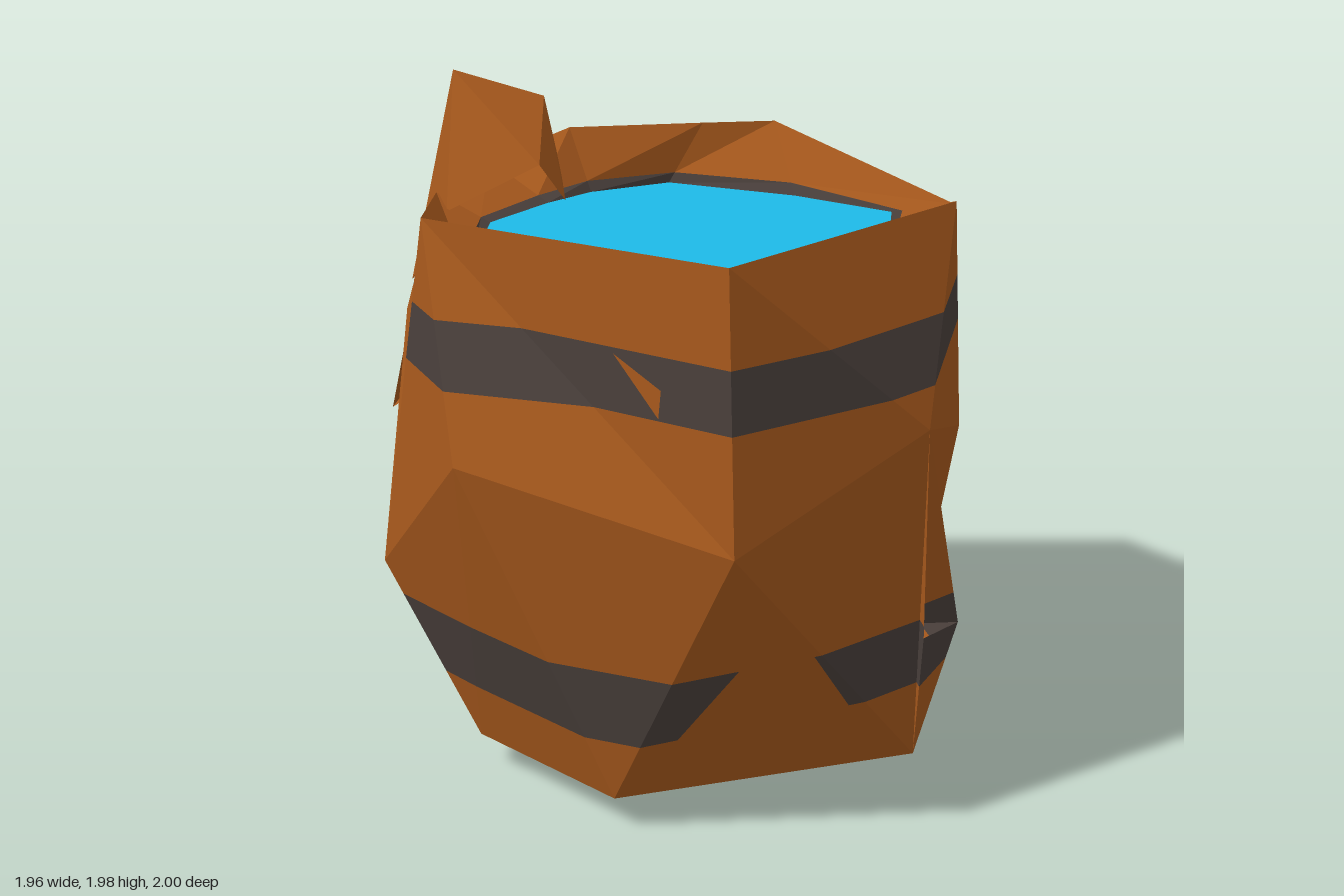
import * as THREE from 'three';

const paint = (name, color) => {
  const m = new THREE.MeshStandardMaterial({ color, side: THREE.DoubleSide });
  m.name = name;
  return m;
};

// Heights where the wood changes to iron hoop and back
const SLABS = [
  [-1, 0.29, 'wood'], [0.29, 0.52, 'iron'], [0.52, 1.29, 'wood'],
  [1.29, 1.47, 'iron'], [1.47, 3, 'wood'],
];

const mix = (a, b, t) => a.map((v, k) => v + (b[k] - v) * t);

// Keep the part of a polygon on one side of a hoop height (fourth number of a corner)
function clip(poly, h, sign) {
  const out = [];
  poly.forEach((a, i) => {
    const b = poly[(i + 1) % poly.length];
    const da = sign * (a[3] - h), db = sign * (b[3] - h);
    if (da >= 0) out.push(a);
    if (da * db < 0) out.push(mix(a, b, da / (da - db)));
  });
  return out;
}

function meshOf(name, polys, material) {
  const pos = [];
  for (const p of polys)
    for (let i = 1; i + 1 < p.length; i++)
      for (const [x, y, z] of [p[0], p[i], p[i + 1]]) pos.push(x, y, z);
  const g = new THREE.BufferGeometry();
  g.setAttribute('position', new THREE.Float32BufferAttribute(pos, 3));
  g.computeVertexNormals();
  const m = new THREE.Mesh(g, material);
  m.name = name;
  return m;
}

// Faceted surface cut into wood and hoop meshes; hoop height is y unless given
function banded(name, tris, mats) {
  const group = new THREE.Group();
  group.name = name;
  const faces = tris.map((t) => t.map(([x, y, z, h = y]) => [x, y, z, h]));
  for (const key of ['wood', 'iron']) {
    const polys = [];
    for (const [lo, hi, k] of SLABS) {
      if (k !== key) continue;
      for (const t of faces) {
        const p = clip(clip(t, lo, 1), hi, -1);
        if (p.length > 2) polys.push(p);
      }
    }
    group.add(meshOf(name + (key === 'wood' ? 'Staves' : 'Hoops'), polys, mats[key]));
  }
  return group;
}

// Triangles between an upper and a lower ring
function loft(up, low, skip = () => false) {
  const tris = [];
  for (let i = 0; i < up.length; i++) {
    const j = (i + 1) % up.length;
    if (!skip(i)) tris.push([up[i], low[i], low[j]], [up[i], low[j], up[j]]);
  }
  return tris;
}

export function createModel() {
  const mats = { wood: paint('brown wood', 0xa4571c), iron: paint('dark iron', 0x483e3a) };
  const waterMat = paint('blue water', 0x1ebcea);
  const model = new THREE.Group();
  model.name = 'brokenBarrel';

  // Cross-sections, starting at the front and passing the +x side
  const rim = [
    [0.36, 1.75, 0.83], [0.92, 1.75, 0.05], [0.92, 1.75, 0.05], [0.88, 1.59, -0.47],
    [0.25, 1.75, -0.8], [0.02, 1.75, -0.73], [-0.4, 1.75, -0.59], [-0.65, 1.65, -0.5],
    [-0.75, 1.62, -0.2], [-0.62, 1.73, 0.45], [-0.62, 1.73, 0.45],
  ];
  const belly = [
    [0.41, 0.95, 1.0], [0.9, 1.18, 0.48], [0.9, 1.18, 0.48], [0.92, 0.83, -0.5],
    [0.41, 1.35, -0.89], [-0.14, 1.25, -0.89], [-0.44, 1.2, -0.81], [-0.72, 1.2, -0.52],
    [-0.88, 1.2, -0.27], [-0.77, 0.62, 0.45], [-0.44, 1.1, 0.83],
  ];
  const foot = [
    [0.04, 0.1, 0.88], [0.87, 0.02, 0.28], [0.98, 0.39, 0.08], [0.85, 0.4, -0.48],
    [0.41, 0.48, -0.88], [0.03, 0.47, -0.85], [-0.4, 0.2, -0.72, 0.29], [-0.8, 0.27, -0.54, 0.3],
    [-0.77, 0.4, -0.15], [-0.6, 0.3, 0.4], [-0.45, 0.1, 0.55],
  ];
  const waterY = 1.56;
  const inner = [
    [0.2, 0.72], [0.55, 0.42], [0.72, 0.07], [0.68, -0.45], [0.35, -0.58], [-0.08, -0.66],
    [-0.31, -0.5], [-0.42, -0.35], [-0.55, -0.1], [-0.5, 0.35], [-0.2, 0.61],
  ].map(([x, z]) => [x, waterY, z]);

  // Outer wall, with a gap at the back and a split on the +x side
  const split = [0.9, 0.48, 0.41], hem = [0.76, 0.36, -0.38];
  const gapTop = [0.23, 1.2, -0.9], fang = [0.58, 0.01, -0.62];
  const wall = [
    ...loft(rim, belly),
    ...loft(belly, foot, (i) => i === 1 || i === 4),
    [belly[4], foot[4], gapTop], [belly[4], gapTop, belly[5]],
    [belly[1], foot[1], split], [split, foot[1], foot[2]],
    // slanting lower edge on the +x side
    [foot[2], foot[1], hem], [foot[2], hem, foot[3]],
    // torn corner reaching the ground
    [foot[3], fang, foot[4]],
    // boards folded into the split and the gap
    [belly[1], [0.85, 0.46, 0.27], foot[2]],
    [foot[4], foot[5], [0, 1.0, -0.65]],
  ];
  model.add(banded('wall', wall, mats));

  // Sloping inside of the rim, with a dark wet edge on most of the water line
  const edge = inner.map((p, i) => mix(p, rim[i], i < 3 ? 0 : 0.17));
  model.add(meshOf('innerRim', loft(rim, edge), mats.wood));
  model.add(meshOf('waterLine', loft(edge, inner, (i) => i < 2), mats.iron));

  // Water surface
  model.add(meshOf('water', [inner], waterMat));

  // Bottom board
  const base = [
    [0.1, 0.02, 0.57], [0.58, 0.01, 0.25], [0.58, 0.03, -0.3], [0.3, 0.05, -0.58],
    [-0.2, 0.06, -0.5], [-0.45, 0.1, -0.15], [-0.42, 0.04, 0.3],
  ];
  const floor = base.map((p, i) => [[0, 0, 0], base[(i + 1) % base.length], p]);
  floor.push([base[2], base[3], [0.45, 0.15, -0.48]], [base[3], base[4], [0.1, 0.13, -0.45]]);
  model.add(meshOf('bottomBoard', floor, mats.wood));

  // Underside between wall and bottom board, open on the +x side
  const belt = [
    [foot[0], base[0], base[1]], [foot[0], base[1], foot[1]],
    [foot[10], base[6], base[0]], [foot[10], base[0], foot[0]],
    [foot[9], base[6], foot[10]], [foot[9], base[5], base[6]],
    [foot[8], base[5], foot[9]], [foot[7], base[5], foot[8]],
    [foot[7], base[4], base[5]], [foot[6], base[4], foot[7]],
    [foot[6], fang, base[4]], [fang, base[3], base[4]],
    [foot[5], fang, foot[6]], [foot[4], fang, foot[5]],
  ];
  model.add(banded('underside', belt, mats));

  // Splintered peak on the rim
  const peak = [-0.73, 1.98, -0.37], shoulder = [-0.44, 1.9, -0.4];
  const roots = [
    [-0.86, 1.3, -0.27], [-0.68, 1.6, -0.06], [-0.4, 1.74, -0.15], [-0.34, 1.6, -0.25],
    [-0.42, 1.62, -0.54], [-0.64, 1.6, -0.53],
  ];
  model.add(meshOf('splinterPeak', [
    [peak, roots[0], roots[1]], [peak, roots[1], roots[2]], [peak, roots[2], shoulder],
    [shoulder, roots[2], roots[3]], [shoulder, roots[3], roots[4]],
    [shoulder, roots[4], roots[5]], [shoulder, roots[5], peak], [peak, roots[5], roots[0]],
  ], mats.wood));

  // Loose splinter sticking out at the back corner
  const tip = [-0.88, 1.01, -1.0], side = [-0.98, 0.8, -0.4];
  const rootA = [-0.62, 1.3, -0.6], rootB = [-0.87, 1.2, -0.29];
  model.add(meshOf('looseSplinter', [
    [tip, rootA, side], [rootA, rootB, side], [tip, side, [-0.74, 0.95, -0.48]],
  ], mats.wood));

  // Bare patches where the hoops are missing, laid on a wall facet
  const patch = (name, [p, q, r], weights) => model.add(meshOf(name, [weights.map(
    ([a, b, c]) => [0, 1, 2].map((k) => p[k] * a + q[k] * b + r[k] * c + [0.002, 0, 0.005][k]),
  )], mats.wood));
  patch('lowerBarePatch', [belly[0], foot[0], foot[1]],
    [[0.73, 0, 0.27], [0.2, 0.7, 0.1], [0.27, 0.06, 0.67]]);
  patch('upperBarePatch', [rim[10], belly[0], rim[0]],
    [[0.37, 0.36, 0.27], [0.23, 0.56, 0.21], [0.22, 0.46, 0.32]]);

  return model;
}
